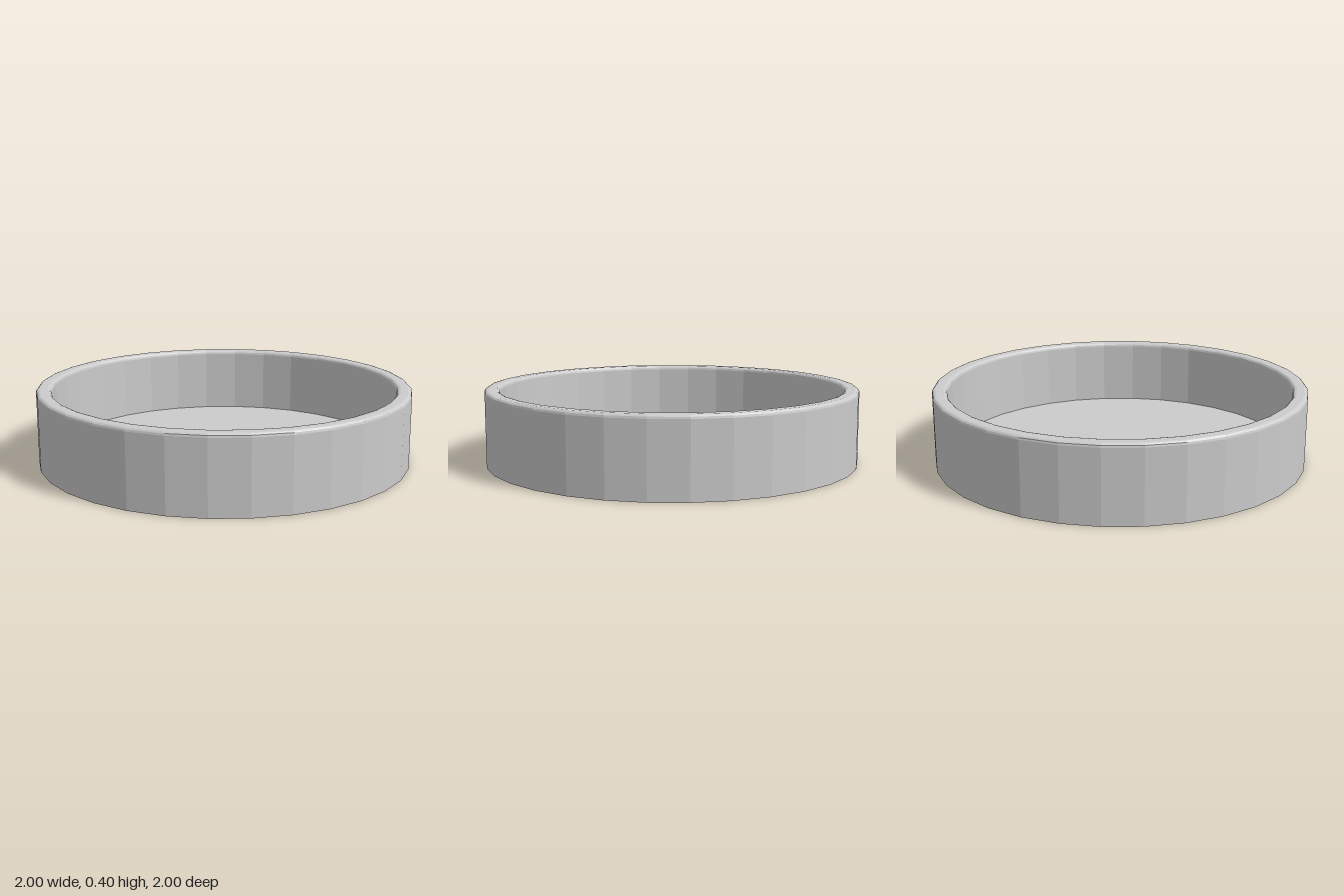
import * as THREE from 'three';

const SIDES = 32;
const OUTER = 1, INNER = 0.92, HEIGHT = 0.4, FLOOR = 0.04, ROUND = 0.02;

export function createModel() {
  const group = new THREE.Group();
  group.name = 'roundTray';
  const material = new THREE.MeshStandardMaterial({ color: 0xcccccc, flatShading: true });

  // Quarter-round lip corner, swept from angle a to a + 90 degrees
  const corner = (cx, a, steps = 3) =>
    Array.from({ length: steps + 1 }, (_, i) => {
      const t = a + (i / steps) * Math.PI / 2;
      return new THREE.Vector2(cx + ROUND * Math.cos(t), HEIGHT - ROUND + ROUND * Math.sin(t));
    });

  // Closed section: underside, outer wall, rounded lip, inner wall, floor
  const profile = [
    new THREE.Vector2(0, 0),
    new THREE.Vector2(OUTER, 0),
    ...corner(OUTER - ROUND, 0),
    ...corner(INNER + ROUND, Math.PI / 2),
    new THREE.Vector2(INNER, FLOOR),
    new THREE.Vector2(0, FLOOR),
  ];

  const tray = new THREE.Mesh(new THREE.LatheGeometry(profile, SIDES), material);
  tray.name = 'trayBody';
  group.add(tray);
  return group;
}
